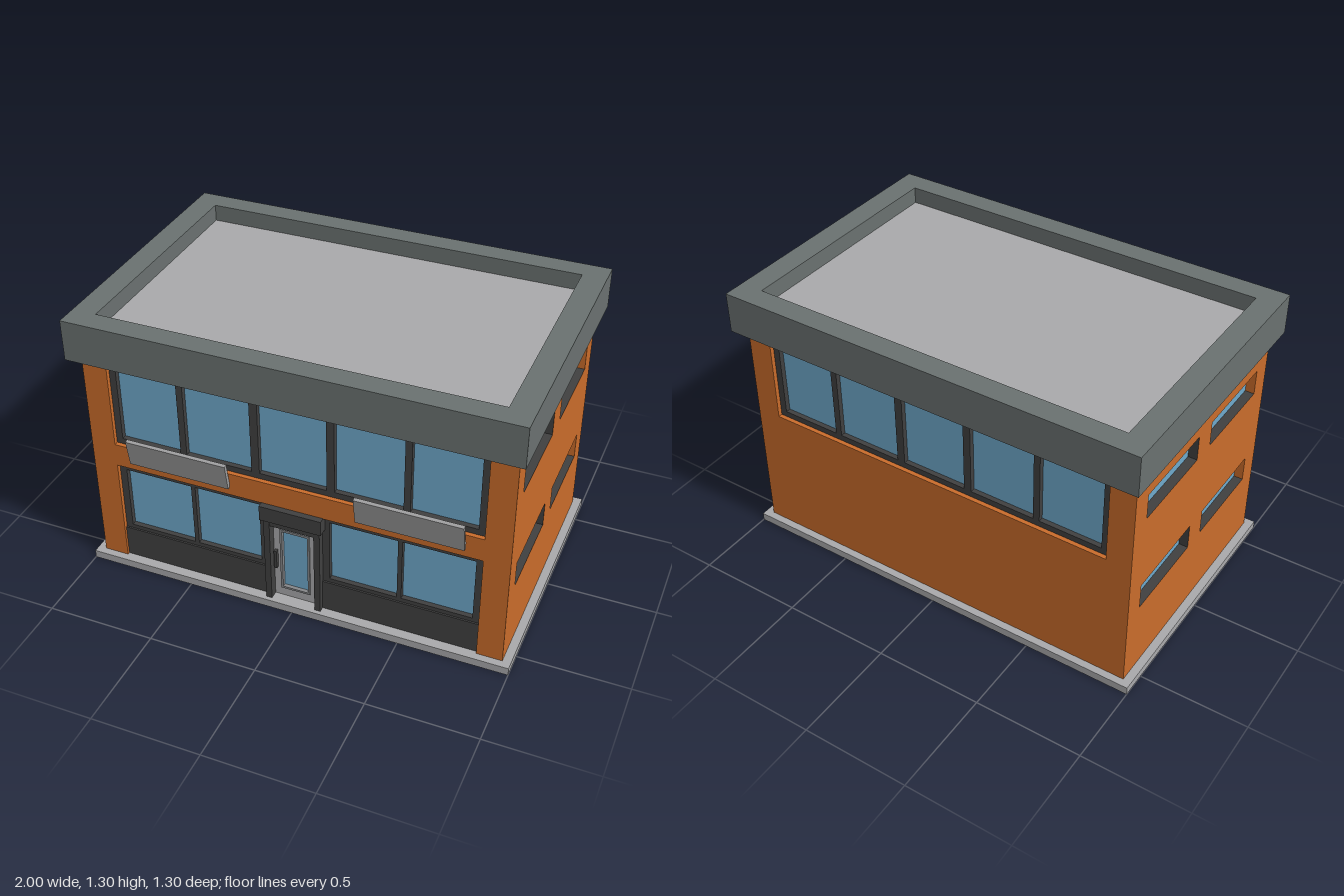
import * as THREE from 'three';

const mat = (name, color) => Object.assign(new THREE.MeshStandardMaterial({ color }), { name });

export function createModel() {
  const model = new THREE.Group();
  model.name = 'shopBuilding';
  const wallOrange = mat('wall orange', 0xc96c2b);
  const corniceGrey = mat('cornice grey', 0x6a7170);
  const roofGrey = mat('roof grey', 0xa9a9ab);
  const frameDark = mat('frame charcoal', 0x404040);
  const glassBlue = mat('glass blue', 0x6fa9cb);
  const signGrey = mat('sign grey', 0x9e9e9f);
  const trimGrey = mat('door trim grey', 0x858789);

  const add = (parent, name, geo, material) => {
    const mesh = new THREE.Mesh(geo, material);
    mesh.name = name;
    parent.add(mesh);
    return mesh;
  };
  // Box given by its limits on each axis
  const box = (parent, name, [x0, x1], [y0, y1], [z0, z1], material) => {
    const mesh = add(parent, name, new THREE.BoxGeometry(x1 - x0, y1 - y0, z1 - z0), material);
    mesh.position.set((x0 + x1) / 2, (y0 + y1) / 2, (z0 + z1) / 2);
    return mesh;
  };
  const trace = (path, [x0, x1, y0, y1]) =>
    path.moveTo(x0, y0).lineTo(x1, y0).lineTo(x1, y1).lineTo(x0, y1).closePath();
  // Upright slab with rectangular openings; rectangles are [x0, x1, y0, y1]
  const slab = (parent, name, outer, holes, [z0, z1], material) => {
    const shape = new THREE.Shape();
    trace(shape, outer);
    for (const h of holes) {
      const hole = new THREE.Path();
      trace(hole, h);
      shape.holes.push(hole);
    }
    const geo = new THREE.ExtrudeGeometry(shape, { depth: z1 - z0, bevelEnabled: false });
    geo.translate(0, 0, z0);
    return add(parent, name, geo, material);
  };

  // Plinth
  box(model, 'plinth', [-1, 1], [0, 0.038], [-0.62, 0.62], roofGrey);

  // Roof: parapet ring with a sunken deck
  const parapet = slab(model, 'parapet', [-1, 1, -0.65, 0.65], [[-0.89, 0.89, -0.548, 0.548]], [0, 0.19], corniceGrey);
  parapet.rotation.x = -Math.PI / 2;
  parapet.position.y = 1.108;
  box(model, 'roofDeck', [-0.9, 0.9], [1.17, 1.22], [-0.56, 0.56], roofGrey);

  // Front and back walls
  const upperBand = [-0.846, 0.846, 0.667, 1.108];
  const lowerBand = [-0.846, 0.846, 0.03, 0.555];
  const wall = [-0.962, 0.962, 0.02, 1.15];
  slab(model, 'frontWall', wall, [upperBand, lowerBand], [0.485, 0.585], wallOrange);
  slab(model, 'backWall', wall, [upperBand], [-0.585, -0.485], wallOrange);

  // Ribbon of five upper windows, on the front and the back
  const upperPanes = [[-0.815, -0.53], [-0.5, -0.193], [-0.156, 0.152], [0.187, 0.492], [0.522, 0.813]];
  for (const side of ['front', 'back']) {
    const ribbon = new THREE.Group();
    ribbon.name = side + 'UpperWindows';
    slab(ribbon, 'windowFrame', upperBand, upperPanes.map(p => [...p, 0.695, 1.078]), [0.525, 0.565], frameDark);
    box(ribbon, 'windowGlass', [-0.84, 0.84], [0.675, 1.1], [0.52, 0.542], glassBlue);
    if (side === 'back') ribbon.rotation.y = Math.PI;
    model.add(ribbon);
  }

  // Shopfront: two windows over a dark panel on each side of the door
  const lowerPanes = [[0.163, 0.473], [0.493, 0.813]];
  for (const s of [-1, 1]) {
    const name = s > 0 ? 'left' : 'right';
    const span = (a, b) => (s > 0 ? [a, b] : [-b, -a]);
    const holes = lowerPanes.map(([a, b]) => [...span(a, b), 0.213, 0.525]);
    slab(model, name + 'ShopWindowFrame', [...span(0.12, 0.846), 0.18, 0.555], holes, [0.525, 0.565], frameDark);
    box(model, name + 'ShopGlass', span(0.14, 0.84), [0.2, 0.54], [0.52, 0.542], glassBlue);
    box(model, name + 'ShopPanel', span(0.12, 0.846), [0.03, 0.193], [0.525, 0.573], frameDark);
    box(model, name + 'DoorJamb', span(0.103, 0.131), [0.038, 0.49], [0.53, 0.6], frameDark);

    // Sign board leaning outward at the top
    const sign = add(model, name + 'SignBoard', new THREE.BoxGeometry(0.477, 0.133, 0.018), signGrey);
    sign.position.set(s * 0.53, 0.661, 0.601);
    sign.rotation.x = 0.17;
  }

  // Entrance door
  box(model, 'doorHeader', [-0.131, 0.131], [0.45, 0.555], [0.53, 0.598], frameDark);
  box(model, 'doorCanopy', [-0.143, 0.143], [0.483, 0.557], [0.53, 0.613], frameDark);
  slab(model, 'doorLeaf', [-0.105, 0.105, 0.038, 0.452], [[-0.072, 0.068, 0.083, 0.417]], [0.535, 0.56], roofGrey);
  slab(model, 'doorTrim', [-0.072, 0.068, 0.083, 0.417], [[-0.061, 0.058, 0.093, 0.405]], [0.535, 0.566], trimGrey);
  box(model, 'doorGlass', [-0.07, 0.066], [0.085, 0.415], [0.53, 0.548], glassBlue);
  box(model, 'doorHandle', [-0.097, -0.084], [0.2, 0.295], [0.56, 0.578], frameDark);

  // Side walls with four slit windows each, lined in charcoal
  const slits = [];
  for (const [a, b] of [[-0.49, -0.058], [0.058, 0.49]])
    for (const [c, d] of [[0.38, 0.502], [0.865, 0.985]]) slits.push([a, b, c, d]);
  for (const s of [-1, 1]) {
    const side = new THREE.Group();
    side.name = s > 0 ? 'leftSide' : 'rightSide';
    slab(side, 'sideWall', [-0.58, 0.58, 0.02, 1.15], slits, [0.88, 0.962], [wallOrange, frameDark]);
    // Closes the corner edge beside the front and back walls
    for (const e of [-1, 1])
      box(side, 'cornerStrip', e > 0 ? [0.575, 0.585] : [-0.585, -0.575], [0.02, 1.15], [0.94, 0.962], wallOrange);
    for (const [a, b, c, d] of slits)
      box(side, 'slitGlass', [a - 0.01, b + 0.01], [c - 0.01, d + 0.01], [0.9, 0.92], glassBlue);
    side.rotation.y = s * Math.PI / 2;
    model.add(side);
  }
  return model;
}
